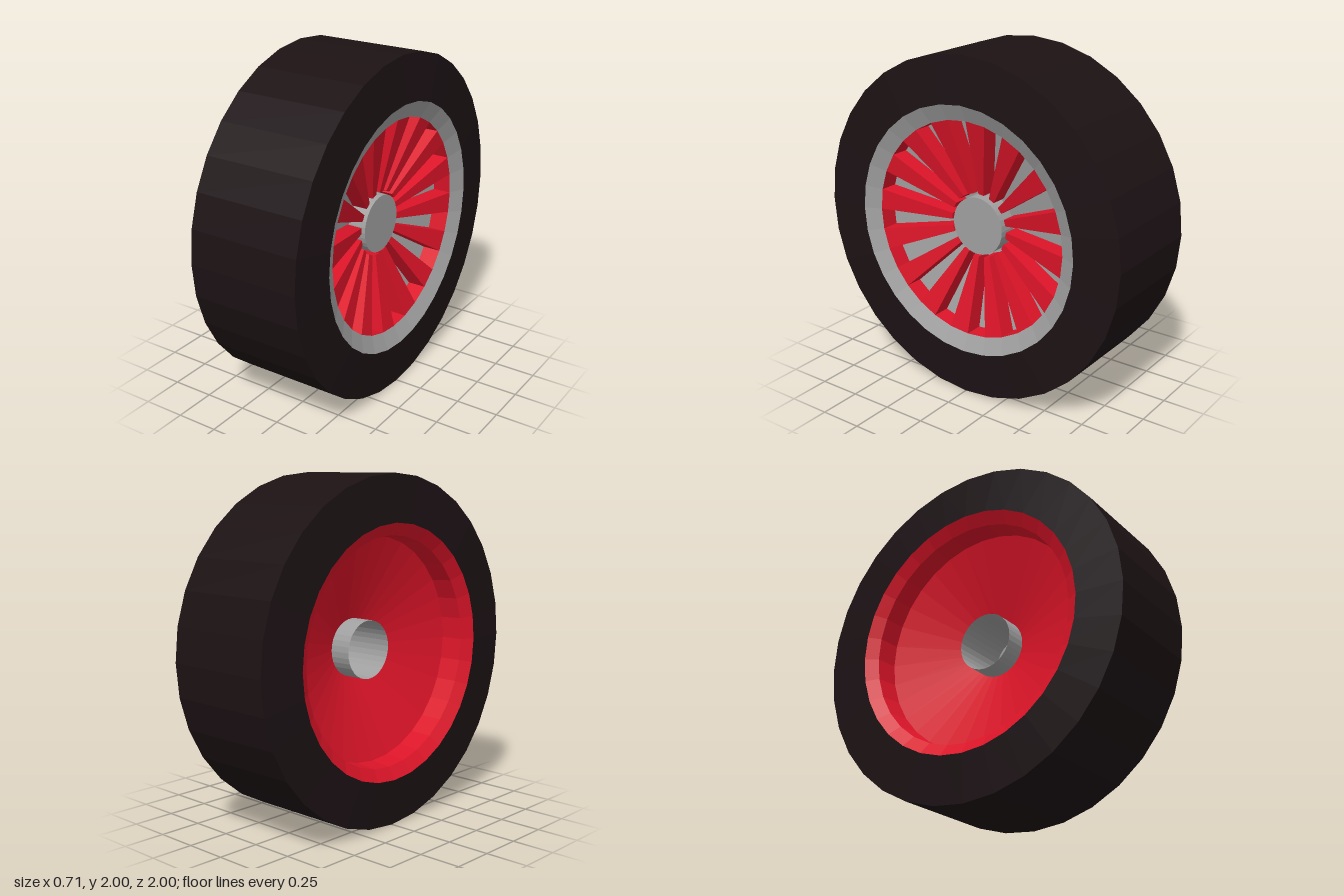
import * as THREE from 'three';

const SIDES = 32;
const STEP = (Math.PI * 2) / SIDES;

function material(color) {
  return new THREE.MeshStandardMaterial({ color, flatShading: true, side: THREE.DoubleSide });
}

export function createModel() {
  const group = new THREE.Group();
  const rubber = material(0x1c1214);
  const red = material(0xdc1428);
  const grey = material(0xa0a0a0);

  // Turned part about the x axis; profile points are [radius, x]
  function turned(name, profile, mat) {
    const points = profile.map(([r, x]) => new THREE.Vector2(r, x));
    const geometry = new THREE.LatheGeometry(points, SIDES);
    geometry.rotateZ(-Math.PI / 2);
    const mesh = new THREE.Mesh(geometry, mat);
    mesh.name = name;
    mesh.position.y = 1;
    group.add(mesh);
  }

  turned('tyre', [[0.73, -0.355], [1, -0.335], [1, 0.335], [0.73, 0.355]], rubber);
  turned('rimRing', [[0.73, 0.355], [0.635, 0.31]], grey);
  turned('rimWall', [[0.635, 0.31], [0.635, 0.2]], red);
  turned('frontDish', [[0.635, 0.2], [0.17, 0.1]], grey);
  turned('backDish', [[0.17, -0.02], [0.65, -0.18], [0.66, -0.31], [0.73, -0.355]], red);
  // Hub tube, closed at the outer face and open behind
  turned('hub', [[0.17, -0.15], [0.17, 0.21], [0, 0.21]], grey);

  // Wedge spoke: a box bent into radius, depth and angle
  const spoke = new THREE.BoxGeometry(1, 1, 1);
  const pos = spoke.attributes.position;
  for (let i = 0; i < pos.count; i++) {
    const outer = pos.getY(i) > 0;
    const front = pos.getX(i) > 0;
    const angle = pos.getZ(i) > 0 ? 0 : -STEP;
    const r = outer ? 0.635 : 0.19;
    const x = (outer ? 0.2 : 0.104) + (front ? (outer ? 0.11 : 0.095) : 0);
    pos.setXYZ(i, x, r * Math.cos(angle), r * Math.sin(angle));
  }
  spoke.computeVertexNormals();

  // Spokes fill every second segment
  const spokes = new THREE.Group();
  spokes.name = 'spokes';
  spokes.position.y = 1;
  for (let i = 0; i < SIDES / 2; i++) {
    const mesh = new THREE.Mesh(spoke, red);
    mesh.name = 'spoke';
    mesh.rotation.x = i * 2 * STEP;
    spokes.add(mesh);
  }
  group.add(spokes);
  return group;
}
